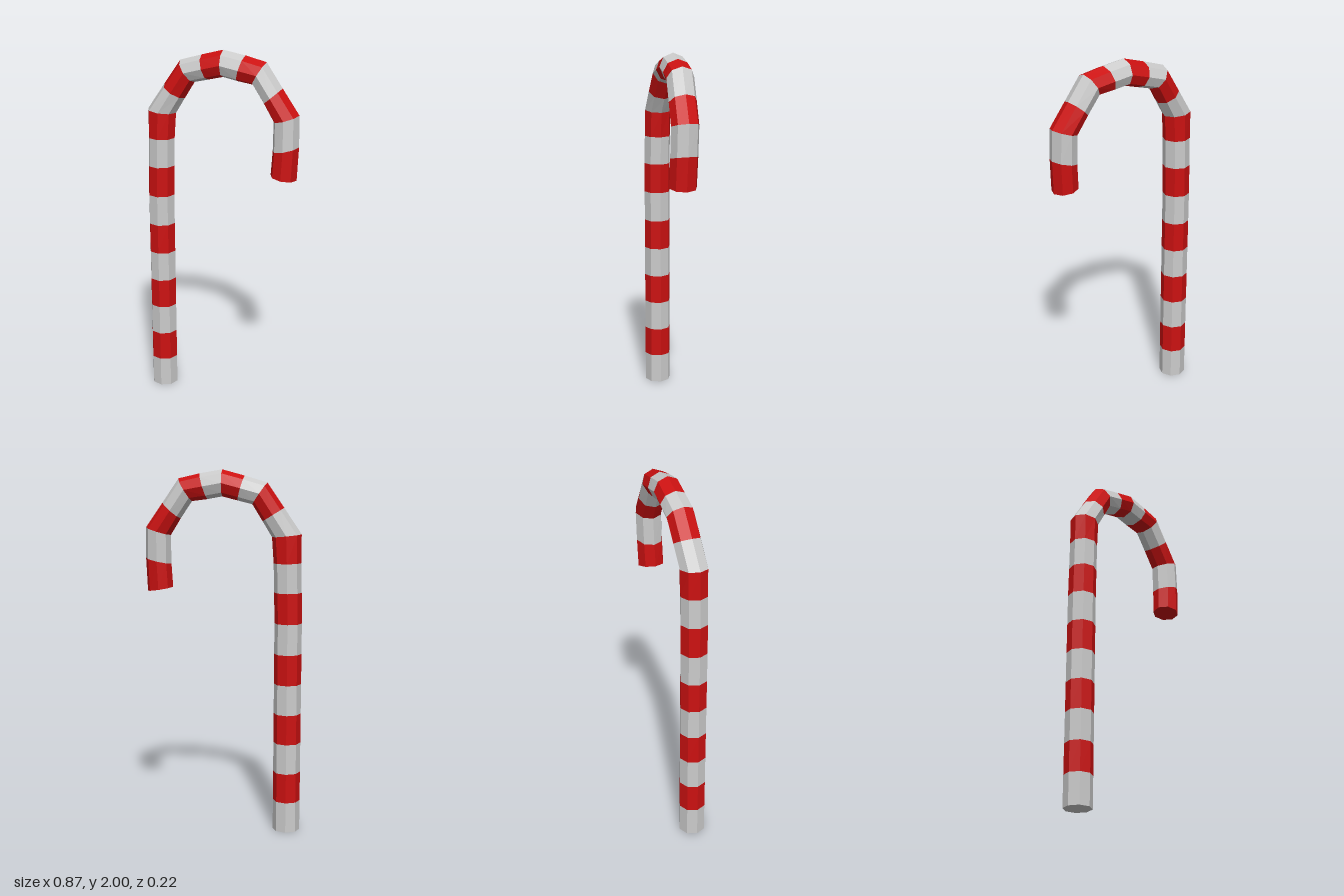
import * as THREE from 'three';

const SIDES = 8;

// Stripe boundaries: centre x, y, z and the half-width vector (x, y) towards the outer side of the bend
const shaft = [0, 0.17, 0.335, 0.503, 0.668, 0.835, 1.003, 1.172].map((y) => [-0.364, y, -0.025, -0.075, 0]);
const hook = [
  [-0.361, 1.34, -0.025, -0.075, 0],
  [-0.357, 1.5, -0.026, -0.075, 0.001],
  [-0.352, 1.648, -0.027, -0.08, 0.008],
  [-0.279, 1.761, -0.03, -0.058, 0.036],
  [-0.206, 1.873, -0.034, -0.04, 0.058],
  [-0.104, 1.901, -0.024, -0.019, 0.066],
  [-0.001, 1.928, -0.014, 0, 0.072],
  [0.102, 1.91, -0.004, 0.021, 0.069],
  [0.204, 1.891, 0.007, 0.037, 0.061],
  [0.281, 1.779, 0.017, 0.05, 0.043],
  [0.357, 1.666, 0.027, 0.069, 0.021],
  [0.358, 1.503, 0.032, 0.071, 0.016],
  [0.35, 1.347, 0.036, 0.071, -0.011],
];
const rings = [...shaft, ...hook];

// Corner j of an octagonal cross-section
function corner([x, y, z, ox, oy], j) {
  const a = (j / SIDES) * Math.PI * 2;
  return [x + Math.cos(a) * ox, y + Math.cos(a) * oy, z + Math.sin(a) * 0.075];
}

// One stripe of the tube between two cross-sections
function addStripe(out, a, b) {
  for (let j = 0; j < SIDES; j++) {
    const p = corner(a, j), q = corner(a, j + 1), r = corner(b, j + 1), s = corner(b, j);
    out.push(...p, ...q, ...r, ...p, ...r, ...s);
  }
}

// Flat end cap
function addCap(out, ring, atStart) {
  const c = ring.slice(0, 3);
  for (let j = 0; j < SIDES; j++) {
    const p = corner(ring, j), q = corner(ring, j + 1);
    out.push(...c, ...(atStart ? q : p), ...(atStart ? p : q));
  }
}

function makeMesh(name, positions, color) {
  const geometry = new THREE.BufferGeometry();
  geometry.setAttribute('position', new THREE.Float32BufferAttribute(positions, 3));
  geometry.computeVertexNormals();
  const mesh = new THREE.Mesh(geometry, new THREE.MeshStandardMaterial({ color, flatShading: true }));
  mesh.name = name;
  return mesh;
}

export function createModel() {
  const group = new THREE.Group();
  group.name = 'candyCane';

  // Alternating stripes, pale at the foot and red at the hook's tip
  const stripes = [[], []];
  for (let i = 0; i < rings.length - 1; i++) addStripe(stripes[i % 2], rings[i], rings[i + 1]);
  addCap(stripes[0], rings[0], true);
  addCap(stripes[1], rings[rings.length - 1], false);

  group.add(makeMesh('paleStripes', stripes[0], 0xcccccc));
  group.add(makeMesh('redStripes', stripes[1], 0xcc1111));
  return group;
}
